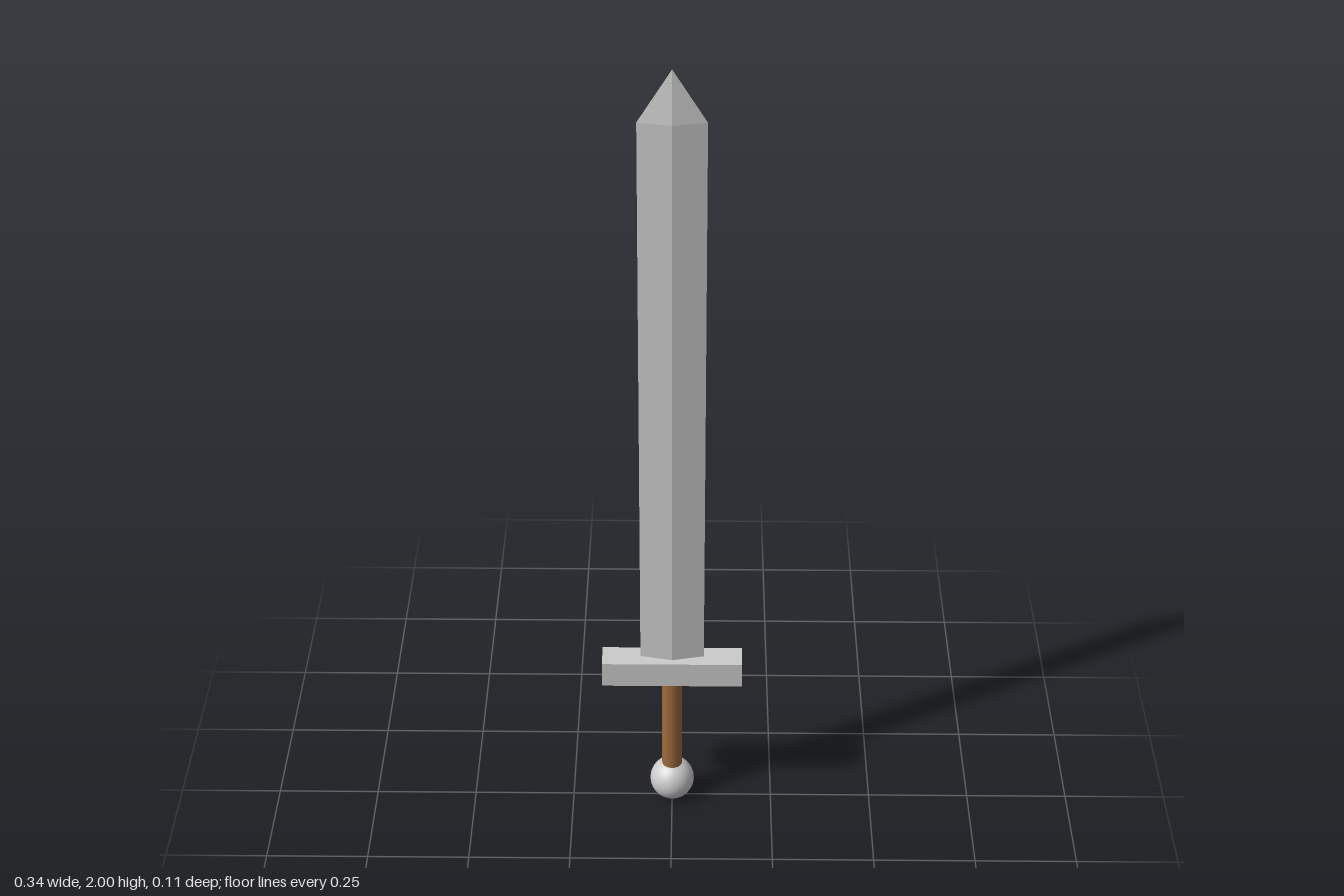
import * as THREE from 'three';

const steel = new THREE.MeshStandardMaterial({ color: 0xcccccc });
const bladeSteel = new THREE.MeshStandardMaterial({ color: 0xcccccc, flatShading: true });
const wood = new THREE.MeshStandardMaterial({ color: 0x9c6b3c });

export function createModel() {
  const sword = new THREE.Group();
  sword.name = 'sword';

  const add = (name, geometry, material, y) => {
    const mesh = new THREE.Mesh(geometry, material);
    mesh.name = name;
    mesh.position.y = y;
    sword.add(mesh);
    return mesh;
  };

  // Pommel ball and round grip
  add('pommel', new THREE.SphereGeometry(0.055, 32, 20), steel, 0.055);
  add('grip', new THREE.CylinderGeometry(0.025, 0.025, 0.29, 32), wood, 0.235);

  // Crossguard bar
  add('crossguard', new THREE.BoxGeometry(0.344, 0.066, 0.07), steel, 0.403);

  // Blade and point: four-sided solids flattened to a diamond section
  const halfWidth = 0.078, halfDepth = 0.017;
  const blade = new THREE.CylinderGeometry(1, 1, 1.455, 4, 1, true).scale(halfWidth, 1, halfDepth);
  add('blade', blade, bladeSteel, 1.1475);
  const point = new THREE.ConeGeometry(1, 0.125, 4, 1, true).scale(halfWidth, 1, halfDepth);
  add('bladePoint', point, bladeSteel, 1.9375);

  return sword;
}
